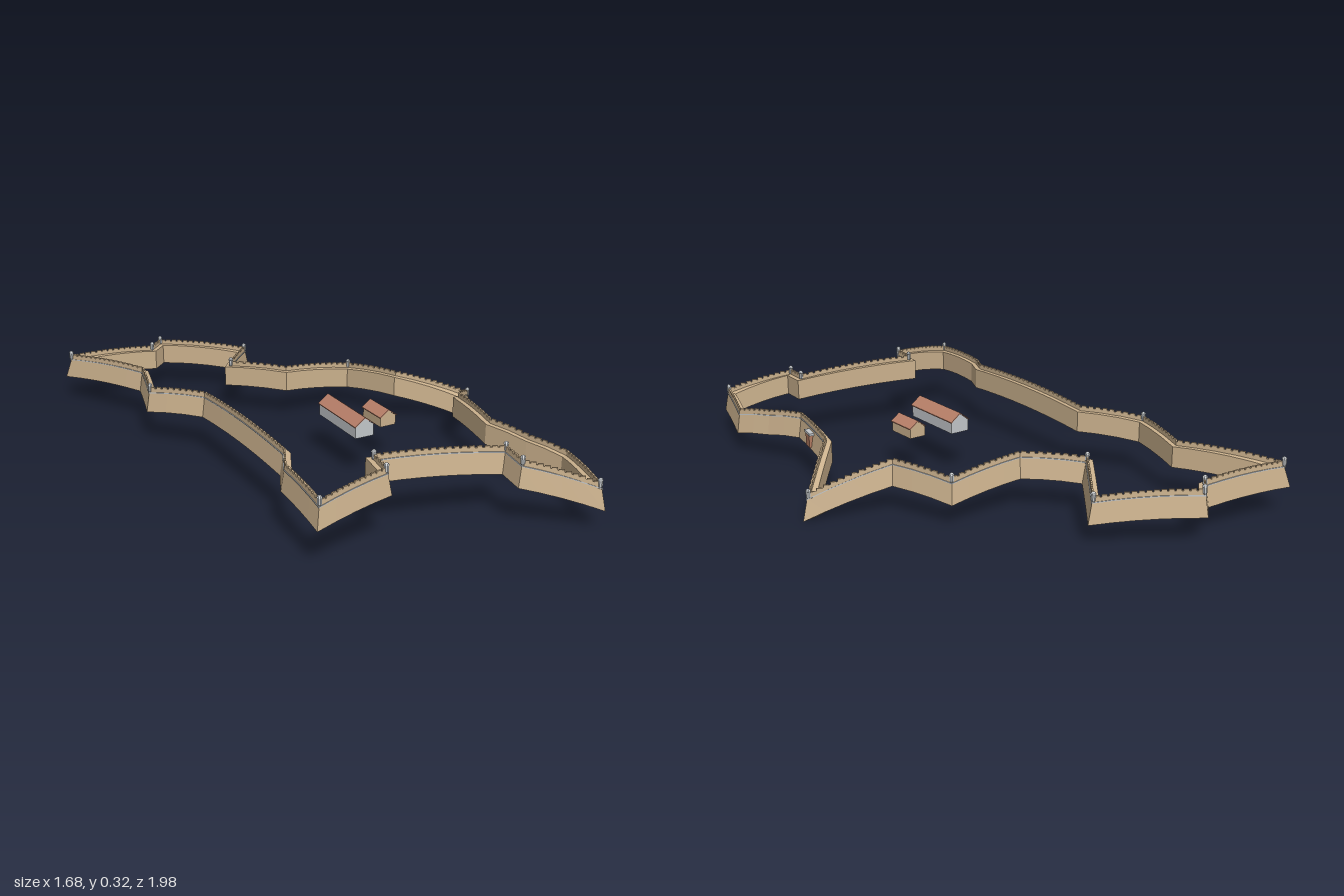
import * as THREE from 'three';
import { mergeGeometries } from 'three/addons/utils/BufferGeometryUtils.js';

const mat = (name, color, side = THREE.FrontSide) => new THREE.MeshStandardMaterial({ name, color, side, flatShading: true });

// Corners of the trace, clockwise from above: x, z, ground height, 1 = turret
const CORNERS = [
  [-0.40, -0.99, 0.10, 1], [-0.01, -0.825, 0.078, 1], [-0.14, -0.55, 0.115, 1], [0.05, -0.42, 0.12, 0],
  [0.355, -0.475, 0.085, 1], [0.50, -0.255, 0.107, 0], [0.83, -0.195, 0, 1], [0.66, 0.09, 0.11, 0],
  [0.66, 0.385, 0.117, 0], [0.75, 0.53, 0.097, 0], [0.845, 0.665, 0.075, 0], [0.815, 0.99, 0.08, 1],
  [0.525, 0.88, 0.16, 1], [0.515, 0.77, 0.167, 1], [0.05, 0.76, 0.195, 1], [0.055, 0.865, 0.192, 1],
  [-0.25, 0.98, 0.155, 1], [-0.285, 0.665, 0.163, 0], [-0.255, 0.55, 0.17, 0], [-0.39, -0.105, 0.155, 0],
  [-0.585, -0.275, 0.135, 1], [-0.565, -0.55, 0.123, 0], [-0.84, -0.88, 0.103, 1], [-0.455, -0.91, 0.10, 1],
].map(([x, z, y, turret]) => ({ x, z, y, turret }));
const N = CORNERS.length;

// Inward unit normal of each side, and inward mitre vector of each corner
CORNERS.forEach((c, i) => {
  const e = CORNERS[(i + 1) % N];
  c.length = Math.hypot(e.x - c.x, e.z - c.z);
  c.n = [-(e.z - c.z) / c.length, (e.x - c.x) / c.length];
});
CORNERS.forEach((c, i) => {
  const p = CORNERS[(i + N - 1) % N].n;
  const k = 1 + p[0] * c.n[0] + p[1] * c.n[1];
  c.m = [(p[0] + c.n[0]) / k, (p[1] + c.n[1]) / k];
});

// Point on side i at t (0..1); the ground swells slightly between corners
function station(i, t) {
  const a = CORNERS[i], b = CORNERS[(i + 1) % N];
  const mix = (p, q) => p + (q - p) * t;
  return {
    x: mix(a.x, b.x), z: mix(a.z, b.z),
    y: mix(a.y, b.y) + 0.08 * a.length * t * (1 - t),
    m: [mix(a.m[0], b.m[0]), mix(a.m[1], b.m[1])],
  };
}

// Sweeps a closed profile of [inward offset, height] round the whole trace
function sweep(profile) {
  const path = [];
  for (let i = 0; i < N; i++) {
    const steps = Math.max(1, Math.round(CORNERS[i].length / 0.08));
    for (let s = 0; s < steps; s++) path.push(station(i, s / steps));
  }
  const at = (s, [off, h]) => [s.x + s.m[0] * off, s.y + h, s.z + s.m[1] * off];
  const pos = [];
  path.forEach((s, i) => {
    const e = path[(i + 1) % path.length];
    profile.forEach((p, j) => {
      const q = profile[(j + 1) % profile.length];
      const a = at(s, p), b = at(s, q), c = at(e, q), d = at(e, p);
      pos.push(...a, ...b, ...c, ...a, ...c, ...d);
    });
  });
  const g = new THREE.BufferGeometry();
  g.setAttribute('position', new THREE.Float32BufferAttribute(pos, 3));
  g.computeVertexNormals();
  return g;
}

export function createModel() {
  const model = new THREE.Group();
  model.name = 'bastionFort';
  const stone = mat('sandstone', 0xcbb18d);
  const grey = mat('paleGrey', 0xc3c7ca);
  const roofRed = mat('roofTile', 0xb98069, THREE.DoubleSide);
  const door = mat('gateRed', 0xb07a60);
  const add = (parent, name, geo, material, x = 0, y = 0, z = 0) => {
    const mesh = new THREE.Mesh(geo, material);
    mesh.name = name;
    mesh.position.set(x, y, z);
    parent.add(mesh);
    return mesh;
  };

  // Battered rampart with wall walk and parapet, and a stone string course
  add(model, 'rampart', sweep([[0, 0], [0.013, 0.082], [0.014, 0.098], [0.021, 0.098],
    [0.021, 0.084], [0.04, 0.084], [0.04, 0]]), stone);
  add(model, 'stringCourse', sweep([[0.01, 0.079], [0.01, 0.083], [0.016, 0.083], [0.016, 0.079]]), grey);

  // Merlons along the parapet
  const merlons = [];
  for (let i = 0; i < N; i++) {
    const c = CORNERS[i], count = Math.max(2, Math.round(c.length / 0.028));
    for (let k = 0; k < count; k++) {
      const s = station(i, (k + 0.5) / count);
      const g = new THREE.BoxGeometry(0.02, 0.009, 0.007);
      g.rotateY(Math.atan2(c.n[0], c.n[1]));
      g.translate(s.x + s.m[0] * 0.0175, s.y + 0.1, s.z + s.m[1] * 0.0175);
      merlons.push(g);
    }
  }
  add(model, 'merlons', mergeGeometries(merlons), stone);

  // Sentry turrets with domed caps on the corners
  const turretGeo = new THREE.LatheGeometry([[0, 0.078], [0.004, 0.08], [0.009, 0.09], [0.009, 0.112],
    [0.0105, 0.113], [0.007, 0.119], [0, 0.123]].map(([r, h]) => new THREE.Vector2(r, h)), 8);
  CORNERS.filter((c) => c.turret).forEach((c) => {
    const off = Math.min(0.018, 0.03 / Math.hypot(...c.m));
    add(model, 'turret', turretGeo, grey, c.x + c.m[0] * off, c.y, c.z + c.m[1] * off);
  });

  // Gateway in the left wall
  const gate = new THREE.Group();
  gate.name = 'gate';
  gate.position.set(0.658, 0.125, 0.245);
  model.add(gate);
  add(gate, 'gateDoor', new THREE.BoxGeometry(0.018, 0.052, 0.045), door, 0, 0.028, 0);
  add(gate, 'gateLintel', new THREE.BoxGeometry(0.022, 0.01, 0.065), grey, 0, 0.059, 0);

  // Gabled barracks: walls extruded from the gable outline, two roof slabs
  function barrack(name, x, y, z, turn, w, len, eave, ridge, wallMat) {
    const house = new THREE.Group();
    house.name = name;
    house.position.set(x, y, z);
    house.rotation.y = turn;
    model.add(house);
    const hw = w / 2 - 0.004;
    const gable = new THREE.Shape([[-hw, 0], [hw, 0], [hw, eave], [0, ridge], [-hw, eave]]
      .map((p) => new THREE.Vector2(...p)));
    const walls = new THREE.ExtrudeGeometry(gable, { depth: len - 0.008, bevelEnabled: false });
    add(house, 'walls', walls.translate(0, 0, -len / 2 + 0.004), wallMat);
    const t = 0.004;
    const roof = new THREE.Shape([[-w / 2, eave - 0.002], [0, ridge], [w / 2, eave - 0.002],
      [w / 2, eave - 0.002 + t], [0, ridge + t], [-w / 2, eave - 0.002 + t]].map((p) => new THREE.Vector2(...p)));
    add(house, 'roof', new THREE.ExtrudeGeometry(roof, { depth: len, bevelEnabled: false }).translate(0, 0, -len / 2), roofRed);
  }
  barrack('longBarrack', 0.125, 0.17, 0.17, 0.2, 0.088, 0.29, 0.047, 0.078, grey);
  barrack('smallBarrack', 0.275, 0.158, 0.14, 0.22, 0.078, 0.135, 0.04, 0.066, stone);

  return model;
}
